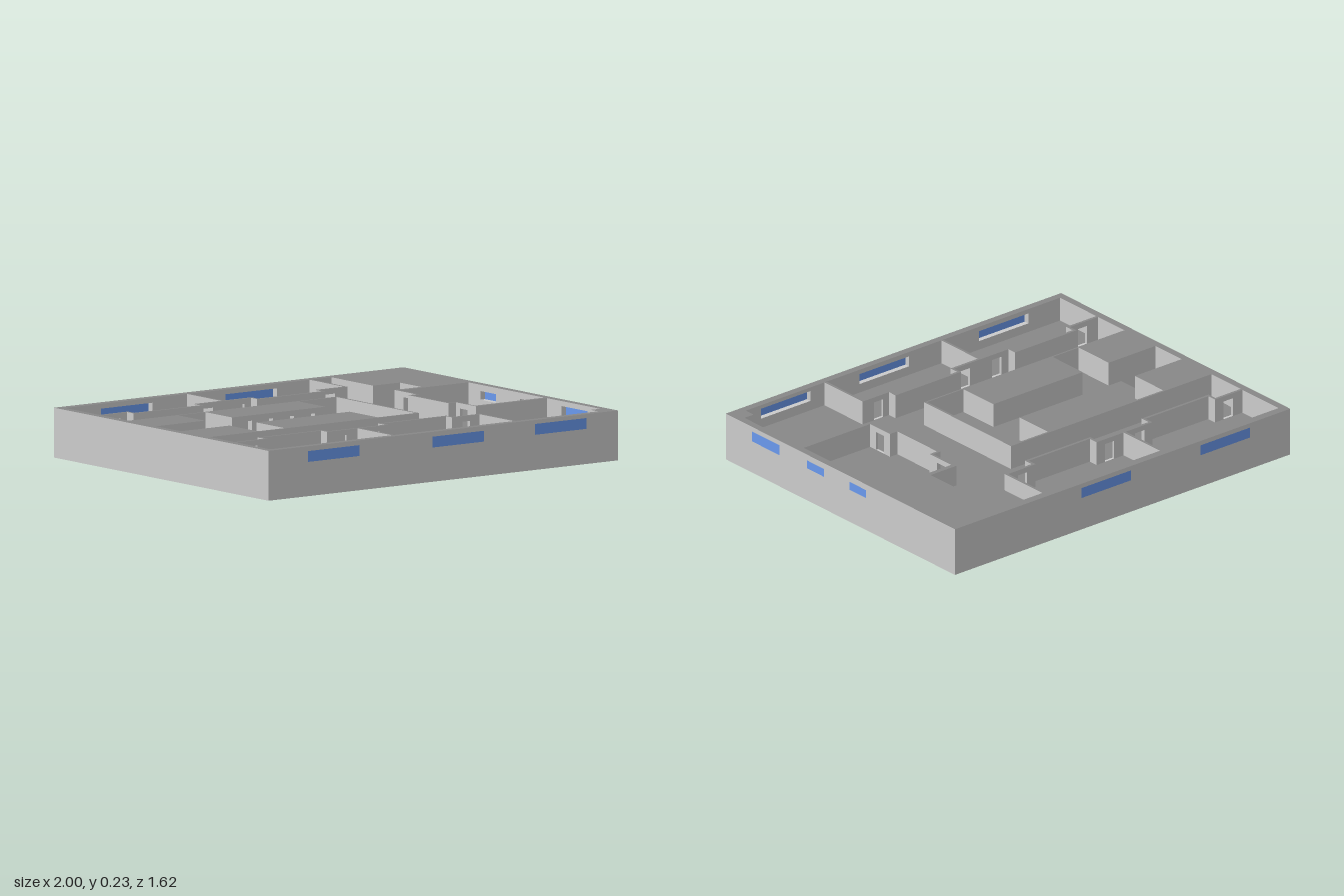
import * as THREE from 'three';

const FLOOR = 0.115, TOP = 0.23, T = 0.013; // floor level, wall top, partition thickness
const grey = new THREE.MeshStandardMaterial({ color: 0xcccccc, flatShading: true });
const dark = new THREE.MeshStandardMaterial({ color: 0x888888, flatShading: true });
const blue = new THREE.MeshStandardMaterial({ color: 0x6a99ee });

export function createModel() {
  const model = new THREE.Group();
  model.name = 'floorPlan';

  // Grey sides, dark floors and wall tops; window sills and lintels stay grey
  const add = (name, geometry) => {
    const g = geometry.index ? geometry.toNonIndexed() : geometry;
    const { position, normal } = g.attributes;
    g.clearGroups();
    for (let i = 0; i < position.count; i += 3) {
      const y = position.getY(i);
      const level = Math.abs(normal.getY(i)) > 0.9 && (y > TOP - 0.001 || y < FLOOR + 0.0005);
      const last = g.groups[g.groups.length - 1];
      if (last && last.materialIndex === Number(level)) last.count += 3;
      else g.addGroup(i, 3, Number(level));
    }
    const mesh = new THREE.Mesh(g, [grey, dark]);
    mesh.name = name;
    model.add(mesh);
  };

  // Box from its limits
  const box = (x0, x1, z0, z1, y0, y1) => new THREE.BoxGeometry(x1 - x0, y1 - y0, z1 - z0)
    .translate((x0 + x1) / 2, (y0 + y1) / 2, (z0 + z1) / 2);
  const block = (name, x0, x1, z0, z1, y0 = FLOOR, y1 = TOP) => add(name, box(x0, x1, z0, z1, y0, y1));
  const pane = (name, ...limits) => {
    const mesh = new THREE.Mesh(box(...limits), blue);
    mesh.name = name;
    model.add(mesh);
  };

  const rectangle = (Type, a0, a1, b0, b1) => {
    const s = new Type();
    s.moveTo(a0, b0);
    s.lineTo(a1, b0);
    s.lineTo(a1, b1);
    s.lineTo(a0, b1);
    s.closePath();
    return s;
  };

  // Straight wall with openings [from, to, bottom, top] along its length
  const wall = (name, x0, x1, z0, z1, openings = [], bottom = FLOOR) => {
    const alongX = x1 - x0 > z1 - z0;
    const [a0, a1] = alongX ? [x0, x1] : [z0, z1];
    const shape = rectangle(THREE.Shape, a0, a1, bottom, TOP);
    for (const o of openings) shape.holes.push(rectangle(THREE.Path, ...o));
    const g = new THREE.ExtrudeGeometry(shape, { depth: alongX ? z1 - z0 : x1 - x0, bevelEnabled: false });
    if (alongX) g.translate(0, 0, z0);
    else g.rotateY(-Math.PI / 2).translate(x1, 0, 0);
    add(name, g);
  };

  const door = (centre, width = 0.055) => [centre - width / 2, centre + width / 2, FLOOR + 0.001, 0.205];

  // Base slab with a stairwell
  const PIT = 0.012, LANDING = FLOOR - 0.05;
  block('baseSlab', -1, 1, -0.81, 0.81, 0, PIT);
  const slab = rectangle(THREE.Shape, -1, 1, -0.81, 0.81);
  slab.holes.push(rectangle(THREE.Path, -0.964, -0.76, -0.1, 0.085));
  const slabGeometry = new THREE.ExtrudeGeometry(slab, { depth: FLOOR - PIT, bevelEnabled: false });
  slabGeometry.rotateX(-Math.PI / 2).translate(0, PIT, 0);
  add('floorSlab', slabGeometry);

  // One flight goes down to the landing, the other turns back and goes on down
  block('stairLanding', -0.964, -0.875, -0.085, 0.1, PIT, LANDING);
  for (let i = 0; i < 5; i++) {
    const x = -0.875 + i * 0.023;
    block('upperStep', x, x + 0.023, -0.085, 0.01, PIT, LANDING + i * 0.01);
    block('lowerStep', x, x + 0.023, 0.01, 0.1, PIT, LANDING - (i + 1) * 0.01);
  }

  // Outer walls with windows
  const frontWindows = [[-0.775, -0.48, 0.158, 0.208], [-0.063, 0.232, 0.158, 0.208], [0.525, 0.82, 0.162, 0.212]];
  const backWindows = [[-0.76, -0.465, 0.158, 0.208], [-0.05, 0.245, 0.158, 0.208]];
  const sideWindows = [[-0.183, -0.065, 0.161, 0.201], [0.115, 0.235, 0.161, 0.201], [0.43, 0.625, 0.157, 0.207]];
  wall('frontWall', -1, 1, 0.775, 0.81, frontWindows);
  wall('backWall', -1, 0.557, -0.81, -0.77, backWindows);
  wall('rightWall', 0.964, 1, -0.272, 0.775, sideWindows);
  wall('leftWall', -1, -0.964, -0.77, 0.775);
  for (const [a, b, y0, y1] of frontWindows) pane('frontWindow', a, b, 0.8, 0.81, y0, y1);
  for (const [a, b, y0, y1] of backWindows) pane('backWindow', a, b, -0.81, -0.8, y0, y1);
  for (const [a, b, y0, y1] of sideWindows) pane('sideWindow', 0.99, 1, a, b, y0, y1);

  // Solid masses in the right corners
  block('backCornerMass', 0.557, 1, -0.81, -0.455);
  block('nookMass', 0.71, 1, -0.455, -0.295);
  block('rightRoomBackWall', 0.557, 1, -0.295, -0.272);
  block('cornerPier', 0.91, 0.964, 0.72, 0.775);

  // Front and back rooms: each wall bulges into the corridor, with a door on both sides
  for (const s of [-1, 1]) {
    const zWall = (name, x0, x1, z, openings) => wall(name, x0, x1, s * z - T / 2, s * z + T / 2, openings);
    const [zRoom, zBay] = s < 0 ? [0.508, 0.46] : [0.512, 0.466];
    const rooms = s < 0
      ? [[-0.964, -0.814, -0.414, -0.269], [-0.257, -0.107, 0.282, 0.432]]
      : [[-0.964, -0.797, -0.43, -0.269], [-0.257, -0.107, 0.283, 0.428]];
    for (const [x0, b0, b1, x1] of rooms) {
      zWall('roomWall', x0, b0 + T, zRoom, [door((x0 + b0) / 2 + 0.01)]);
      zWall('roomWall', b1 - T, x1, zRoom, [door((b1 + x1) / 2 - 0.01)]);
      zWall('roomBay', b0, b1, zBay);
      for (const x of [b0, b1 - T]) {
        const z = [s * (zBay + T / 2), s * (zRoom - T / 2)].sort((a, b) => a - b);
        block('baySide', x, x + T, z[0], z[1]);
      }
      const ends = [s * (zRoom - T / 2), s * 0.773].sort((a, b) => a - b);
      wall('roomPartition', x1, x1 + T, ends[0], ends[1]);
    }
  }

  // Central core: four solid blocks around an H-shaped hall
  block('coreBlock', -0.964, -0.685, -0.295, -0.085);
  block('coreBlock', -0.964, -0.685, 0.1, 0.32);
  block('coreBlock', -0.53, 0.003, 0.1, 0.32);
  block('liftBlock', -0.53, 0.003, -0.295, -0.115);
  wall('liftFront', -0.53, 0.003, -0.115, -0.085, [-0.45, -0.33, -0.21, -0.09].map((x) => door(x, 0.07)));
  for (const [x0, x1] of [[-0.685, -0.53], [0.003, 0.218]]) {
    wall('coreWall', x0, x1, -0.295, -0.285);
    wall('coreWall', x0, x1, 0.312, 0.32);
  }
  wall('coreEndWall', 0.218, 0.231, -0.295, 0.32);

  // Right-hand room with its bay
  wall('rightRoomWall', 0.557, 0.569, -0.272, -0.12, [door(-0.2)]);
  wall('rightRoomWall', 0.557, 0.569, 0.16, 0.3, [door(0.23)]);
  wall('rightRoomBay', 0.513, 0.525, -0.132, 0.172);
  for (const z of [-0.132, 0.16]) block('rightBaySide', 0.525, 0.557, z, z + 0.012);
  wall('rightRoomFrontWall', 0.557, 0.964, 0.3, 0.32);

  return model;
}
